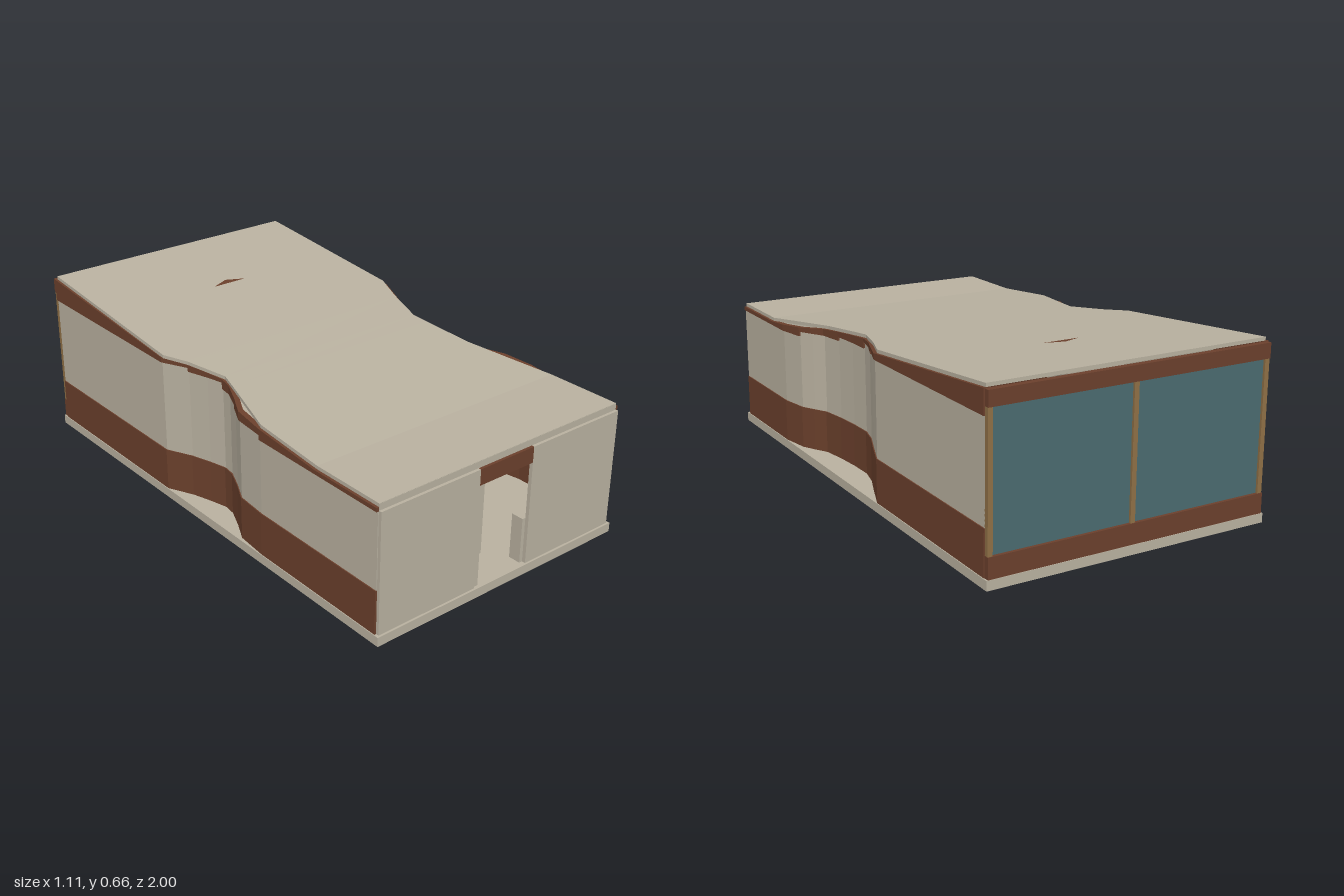
import * as THREE from 'three';
import { mergeGeometries } from 'three/addons/utils/BufferGeometryUtils.js';

const mat = (name, color) => {
  const m = new THREE.MeshStandardMaterial({ color });
  m.name = name;
  return m;
};

// Piecewise-linear lookup of x along z; points are [z, x] sorted by z
function along(points, z) {
  for (let i = 0; i < points.length - 1; i++) {
    const [z0, x0] = points[i], [z1, x1] = points[i + 1];
    if (z <= z1) return x0 + (x1 - x0) * Math.max(0, (z - z0) / (z1 - z0));
  }
  return points[points.length - 1][1];
}

// Roof height: flat at the front, rising in a straight slope to the back
const THICK = 0.013;
const roofTop = z => 0.515 + Math.max(0, 0.68 - z) * 0.0878;
const underside = z => roofTop(z) - THICK;

// Box whose sides follow rules of z, between two z stations
function block(z0, z1, left, right, bottom, top) {
  const g = new THREE.BoxGeometry(1, 1, 1);
  const p = g.attributes.position;
  for (let i = 0; i < p.count; i++) {
    const z = p.getZ(i) < 0 ? z0 : z1;
    const x = p.getX(i) < 0 ? left(z) : right(z);
    const y = p.getY(i) < 0 ? bottom(z) : top(z);
    p.setXYZ(i, x, y, z);
  }
  g.computeVertexNormals();
  return g;
}

// Plan curves of the two waisted side walls and the roof edges
const wallLeft = [[-0.978, 0.548], [-0.24, 0.548], [-0.12, 0.502], [-0.03, 0.466], [0.05, 0.447],
  [0.15, 0.449], [0.25, 0.457], [0.35, 0.472], [0.4, 0.5], [0.455, 0.528], [0.57, 0.548], [0.98, 0.548]];
const wallRight = [[-0.978, -0.548], [-0.21, -0.548], [-0.11, -0.5], [-0.03, -0.475], [0.04, -0.457],
  [0.09, -0.463], [0.17, -0.497], [0.25, -0.537], [0.38, -0.548], [0.98, -0.548]];
const roofLeft = [[-0.975, 0.545], [-0.25, 0.545], [-0.12, 0.495], [0.05, 0.442], [0.15, 0.449],
  [0.33, 0.465], [0.5, 0.503], [0.68, 0.545], [0.98, 0.545]];
const roofRight = [[-0.975, -0.545], [-0.2, -0.552], [-0.11, -0.505], [0.05, -0.455], [0.12, -0.473],
  [0.2, -0.495], [0.38, -0.545], [0.98, -0.545]];

// Stepped top of the pale cladding
const claddingTop = z => z > 0.45 ? 0.487 : z > 0.2 ? 0.505 : z > 0.05 ? 0.52 : z > -0.12 ? 0.545 : 0.56;

export function createModel() {
  const group = new THREE.Group();
  const pale = mat('pale plaster', 0xb9b1a0);
  const brown = mat('brown timber', 0x6b402c);
  const glass = mat('teal glass', 0x4a6b70);
  const tan = mat('tan frame', 0x8f7046);

  const add = (name, geometry, material) => {
    const m = new THREE.Mesh(geometry, material);
    m.name = name;
    group.add(m);
    return m;
  };
  // Axis-aligned box from its limits
  const box = (name, material, x0, x1, y0, y1, z0, z1) => {
    const g = new THREE.BoxGeometry(x1 - x0, y1 - y0, z1 - z0);
    g.translate((x0 + x1) / 2, (y0 + y1) / 2, (z0 + z1) / 2);
    return add(name, g, material);
  };

  box('floorSlab', pale, -0.556, 0.556, 0, 0.035, -1, 1);

  // Side walls: brown plinth, pale cladding and brown band under the roof
  for (const [side, curve, s] of [['left', wallLeft, 1], ['right', wallRight, -1]]) {
    const plinth = [], cladding = [], band = [];
    for (let i = 0; i < curve.length - 1; i++) {
      const z0 = curve[i][0], z1 = curve[i + 1][0];
      const step = claddingTop((z0 + z1) / 2);
      const strip = (list, out, bottom, top, a = z0, b = z1) => list.push(block(a, b,
        z => along(curve, z) + (s > 0 ? -0.014 : -out),
        z => along(curve, z) + (s > 0 ? out : 0.014), bottom, top));
      strip(plinth, 0.005, () => 0.035, () => 0.2);
      strip(cladding, 0.001, () => 0.2, () => step);
      // Break the band where the roof slope begins
      const cuts = z0 < 0.68 && z1 > 0.68 ? [z0, 0.68, z1] : [z0, z1];
      for (let k = 0; k < cuts.length - 1; k++) {
        strip(band, 0.007, () => step, underside, cuts[k], cuts[k + 1]);
      }
    }
    add(side + 'Plinth', mergeGeometries(plinth), brown);
    add(side + 'Cladding', mergeGeometries(cladding), pale);
    add(side + 'RoofBand', mergeGeometries(band), brown);
  }

  // Roof sheet lofted through the stations of both edges
  const stations = [...new Set([...roofLeft, ...roofRight].map(p => p[0]))].sort((a, b) => a - b);
  const roof = [];
  for (let i = 0; i < stations.length - 1; i++) {
    roof.push(block(stations[i], stations[i + 1], z => along(roofRight, z),
      z => along(roofLeft, z), underside, roofTop));
  }
  add('roof', mergeGeometries(roof), pale);
  box('roofFrontEdge', pale, -0.545, 0.545, 0.49, 0.514, 0.97, 0.981);

  // Small triangular vent lying on the roof
  const tri = [[-0.075, -0.56], [0.075, -0.56], [0, -0.59]];
  const vent = new THREE.BufferGeometry();
  vent.setAttribute('position', new THREE.Float32BufferAttribute(
    tri.flatMap(([x, z]) => [x, roofTop(z) + 0.003, z]), 3));
  vent.computeVertexNormals();
  add('roofVent', vent, brown);

  // Front wall with door opening
  box('frontWallRight', pale, -0.546, -0.123, 0.035, 0.49, 0.978, 0.992);
  box('frontWallLeft', pale, 0.123, 0.546, 0.035, 0.49, 0.978, 0.992);
  box('doorLintel', brown, -0.123, 0.123, 0.43, 0.49, 0.978, 0.992);
  box('doorJamb', pale, -0.123, -0.1, 0.035, 0.43, 0.93, 0.985);
  box('doorSidePost', pale, 0.109, 0.123, 0.035, 0.21, 0.93, 0.978);

  // Inner room block seen through the door
  box('innerRoom', pale, -0.09, 0.05, 0.035, 0.41, 0.3, 0.85);
  box('innerRoomCap', brown, -0.1, 0.05, 0.41, 0.42, 0.3, 0.855);

  // Glazed back wall
  box('backSill', brown, -0.55, 0.55, 0.035, 0.11, -0.998, -0.975);
  box('backBeam', brown, -0.55, 0.55, 0.59, 0.645, -0.998, -0.975);
  box('backGlass', glass, -0.545, 0.545, 0.11, 0.59, -0.986, -0.979);
  for (const x of [-0.54, 0, 0.54]) {
    box('windowPost', tan, x - 0.009, x + 0.009, 0.11, 0.59, -0.995, -0.977);
  }
  return group;
}
